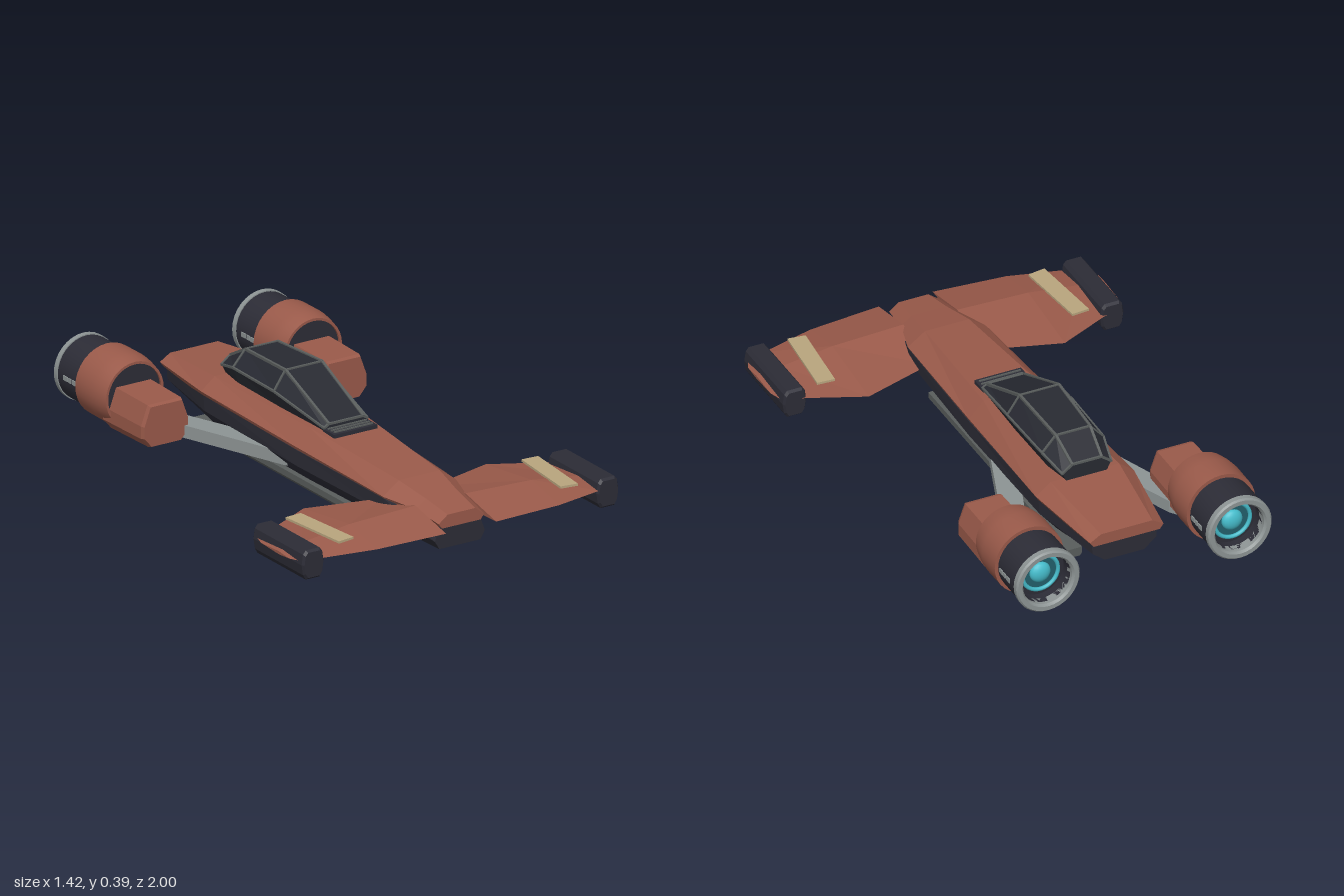
import * as THREE from 'three';
import { toCreasedNormals } from 'three/addons/utils/BufferGeometryUtils.js';

const material = (name, color) => {
  const m = new THREE.MeshStandardMaterial({ color });
  m.name = name;
  return m;
};

// Skin a list of equal-length rings (counterclockwise seen from the first end), with flat caps
function loft(rings) {
  const pos = [];
  const tri = (...corners) => corners.forEach((p) => pos.push(...p));
  const n = rings[0].length;
  for (let i = 0; i < rings.length - 1; i++) {
    for (let k = 0; k < n; k++) {
      const a = rings[i][k], b = rings[i][(k + 1) % n];
      const c = rings[i + 1][k], d = rings[i + 1][(k + 1) % n];
      tri(a, c, b);
      tri(b, c, d);
    }
  }
  const first = rings[0], last = rings[rings.length - 1];
  for (let k = 1; k < n - 1; k++) {
    tri(first[0], first[k], first[k + 1]);
    tri(last[0], last[k + 1], last[k]);
  }
  const g = new THREE.BufferGeometry();
  g.setAttribute('position', new THREE.Float32BufferAttribute(pos, 3));
  g.computeVertexNormals();
  return g;
}

// Symmetric ring at depth z from right-hand points listed bottom to top
const ring = (z, half, cx = 0) => [
  ...half.map(([x, y]) => [cx + x, y, z]),
  ...half.slice().reverse().map(([x, y]) => [cx - x, y, z]),
];

// Turned part along z; profile is [radius, z]
function turned(profile, x, y) {
  const g = new THREE.LatheGeometry(profile.map(([r, z]) => new THREE.Vector2(r, z)), 32);
  return toCreasedNormals(g.rotateX(Math.PI / 2).translate(x, y, 0), 0.5);
}

// Square bar between two points
function bar(a, b, w) {
  const p = new THREE.Vector3(...a), q = new THREE.Vector3(...b);
  const o = new THREE.Object3D();
  o.position.copy(p).add(q).multiplyScalar(0.5);
  o.lookAt(q);
  o.updateMatrix();
  return new THREE.BoxGeometry(w, w, p.distanceTo(q) + w * 0.5).applyMatrix4(o.matrix);
}

// Mirror across x = 0, keeping faces outward
function mirrored(geometry) {
  const g = geometry.index ? geometry.toNonIndexed() : geometry.clone();
  g.applyMatrix4(new THREE.Matrix4().makeScale(-1, 1, 1));
  for (const attr of Object.values(g.attributes)) {
    const s = attr.itemSize, a = attr.array;
    for (let i = 0; i < attr.count; i += 3) {
      for (let j = 0; j < s; j++) {
        const u = (i + 1) * s + j, v = (i + 2) * s + j;
        [a[u], a[v]] = [a[v], a[u]];
      }
    }
  }
  return g;
}

export function createModel() {
  const rust = material('rustPaint', 0x9a5a4a);
  const dark = material('darkHull', 0x2c2c36);
  const grey = material('lightMetal', 0x8d9494);
  const skidGrey = material('dullMetal', 0x595d5c);
  const glass = material('darkGlass', 0x282a32);
  const tan = material('tanPanel', 0xb9a57e);
  const cyan = material('engineGlow', 0x45bccb);
  const teal = material('deepTeal', 0x23606c);

  const model = new THREE.Group();
  model.name = 'spacecraft';
  const add = (name, geometry, mat) => {
    const m = new THREE.Mesh(geometry, mat);
    m.name = name;
    model.add(m);
  };
  const both = (name, geometry, mat) => {
    add(name + 'Left', geometry, mat);
    add(name + 'Right', mirrored(geometry), mat);
  };

  // Fuselage: painted upper shell over a dark lower hull
  add('upperShell', loft([
    ring(0.93, [[0.085, 0.105], [0.10, 0.125], [0.06, 0.155]]),
    ring(0.80, [[0.10, 0.12], [0.115, 0.145], [0.07, 0.178]]),
    ring(0.65, [[0.15, 0.135], [0.16, 0.155], [0.09, 0.205]]),
    ring(0.10, [[0.17, 0.15], [0.18, 0.175], [0.12, 0.238]]),
    ring(-0.50, [[0.18, 0.165], [0.20, 0.20], [0.14, 0.247]]),
    ring(-0.85, [[0.135, 0.17], [0.15, 0.19], [0.105, 0.217]]),
  ]), rust);
  add('lowerHull', loft([
    ring(0.92, [[0.09, 0.022], [0.11, 0.055], [0.09, 0.108]]),
    ring(0.65, [[0.10, 0.02], [0.155, 0.09], [0.158, 0.148]]),
    ring(0.10, [[0.11, 0.02], [0.178, 0.10], [0.178, 0.162]]),
    ring(-0.50, [[0.11, 0.03], [0.185, 0.12], [0.19, 0.185]]),
    ring(-0.83, [[0.08, 0.085], [0.13, 0.125], [0.135, 0.185]]),
  ]), dark);

  // Canopy with frame bars along its edges
  const canopy = [
    [0.16, [[0.09, 0.235], [0.095, 0.25], [0.075, 0.262]]],
    [-0.12, [[0.10, 0.238], [0.13, 0.31], [0.08, 0.383]]],
    [-0.40, [[0.10, 0.24], [0.125, 0.31], [0.07, 0.372]]],
    [-0.515, [[0.08, 0.24], [0.10, 0.28], [0.06, 0.31]]],
  ].map(([z, half]) => ring(z, half));
  add('canopy', loft(canopy), glass);
  canopy.forEach((r, i) => {
    add('canopyCrossBar', bar(r[2], r[3], 0.008), skidGrey);
    both('canopySideBar', bar(r[1], r[2], 0.008), skidGrey);
    if (i > 0) {
      both('canopyTopRail', bar(canopy[i - 1][2], r[2], 0.01), skidGrey);
      both('canopyLowerRail', bar(canopy[i - 1][1], r[1], 0.008), skidGrey);
    }
  });

  // Grille ahead of the canopy
  add('grille', new THREE.BoxGeometry(0.19, 0.02, 0.075).translate(0, 0.235, 0.19), dark);
  for (const z of [0.17, 0.19, 0.21]) {
    add('grilleSlat', new THREE.BoxGeometry(0.17, 0.006, 0.006).translate(0, 0.247, z), skidGrey);
  }

  // Landing skids
  const skid = [[0.022, 0], [0.03, 0.012], [0.03, 0.036]];
  both('skid', loft([ring(0.51, skid, 0.115), ring(-0.65, skid, 0.115)]), skidGrey);

  // Front wings: diamond sections from tip to root
  const wing = [
    // x, front z, rear z, edge y, top y, bottom y
    [0.71, 0.86, 0.67, 0.10, 0.106, 0.094],
    [0.69, 0.90, 0.61, 0.10, 0.11, 0.09],
    [0.61, 0.925, 0.585, 0.102, 0.118, 0.09],
    [0.40, 0.975, 0.485, 0.107, 0.146, 0.097],
    [0.11, 0.995, 0.57, 0.112, 0.156, 0.104],
  ].map(([x, f, r, e, t, b]) => [[x, e, f], [x, b, 0.79], [x, e, r], [x, t, 0.79]]);
  both('wing', loft(wing), rust);

  // Tan panels on the wings
  const panel = new THREE.Shape([[0.555, -0.60], [0.485, -0.595], [0.455, -0.90], [0.525, -0.91]]
    .map((p) => new THREE.Vector2(...p)));
  both('wingPanel', new THREE.ExtrudeGeometry(panel, { depth: 0.009, bevelEnabled: false })
    .rotateX(-Math.PI / 2).translate(0, 0.135, 0), tan);

  // Wing tip pods
  const pod = (s) => [[0.03, 0.03], [0.042, 0.05], [0.048, 0.09], [0.042, 0.13], [0.03, 0.145]]
    .map(([x, y]) => [x * s, 0.0875 + (y - 0.0875) * s]);
  both('tipPod', loft([
    ring(0.93, pod(0.86), 0.648), ring(0.92, pod(1), 0.648),
    ring(0.60, pod(1), 0.648), ring(0.59, pod(0.86), 0.648),
  ]), dark);

  // Struts joining hull and engines
  const strut = new THREE.Shape([[0.15, 0.00], [0.33, 0.49], [0.33, 0.68], [0.285, 0.62], [0.15, 0.27]]
    .map((p) => new THREE.Vector2(...p)));
  both('strut', new THREE.ExtrudeGeometry(strut, { depth: 0.05, bevelEnabled: false })
    .rotateX(-Math.PI / 2).translate(0, 0.06, 0), grey);

  // Engines
  const ex = 0.392, ey = 0.182;
  const block = (s) => [[0.07, 0.05], [0.104, 0.09], [0.104, 0.14], [0.075, 0.22]]
    .map(([x, y]) => [x * s, 0.135 + (y - 0.135) * s]);
  both('intakeBlock', loft([
    ring(-0.44, block(0.92), ex), ring(-0.455, block(0.98), ex), ring(-0.70, block(1.02), ex),
  ]), rust);
  both('engineBody', turned([[0, -0.92], [0.10, -0.92], [0.10, -0.975], [0.126, -0.975],
    [0.126, -0.84], [0.12, -0.66], [0, -0.66]], ex, ey), dark);
  both('engineCowl', turned([[0.12, -0.835], [0.14, -0.835], [0.141, -0.73], [0.136, -0.69],
    [0.127, -0.65], [0.117, -0.65], [0.117, -0.67]], ex, ey), rust);
  both('nozzleRing', turned([[0.10, -0.95], [0.10, -0.99], [0.107, -1], [0.124, -1],
    [0.13, -0.993], [0.13, -0.972], [0.10, -0.972]], ex, ey), grey);
  both('nozzleFloor', turned([[0, -0.924], [0.075, -0.924], [0.075, -0.915]], ex, ey), teal);
  both('glowRing', new THREE.TorusGeometry(0.072, 0.008, 8, 32).translate(ex, ey, -0.93), cyan);
  both('glowCore', new THREE.SphereGeometry(0.042, 20, 12).scale(1, 1, 0.6)
    .translate(ex, ey, -0.925), cyan);

  // Small marker plates on the engine sides
  for (const side of [-1, 1]) {
    for (const [z, len] of [[-0.862, 0.025], [-0.89, 0.018], [-0.92, 0.028]]) {
      both('enginePlate', new THREE.BoxGeometry(0.006, 0.018, len)
        .translate(ex + side * 0.126, ey, z), grey);
    }
  }
  return model;
}
